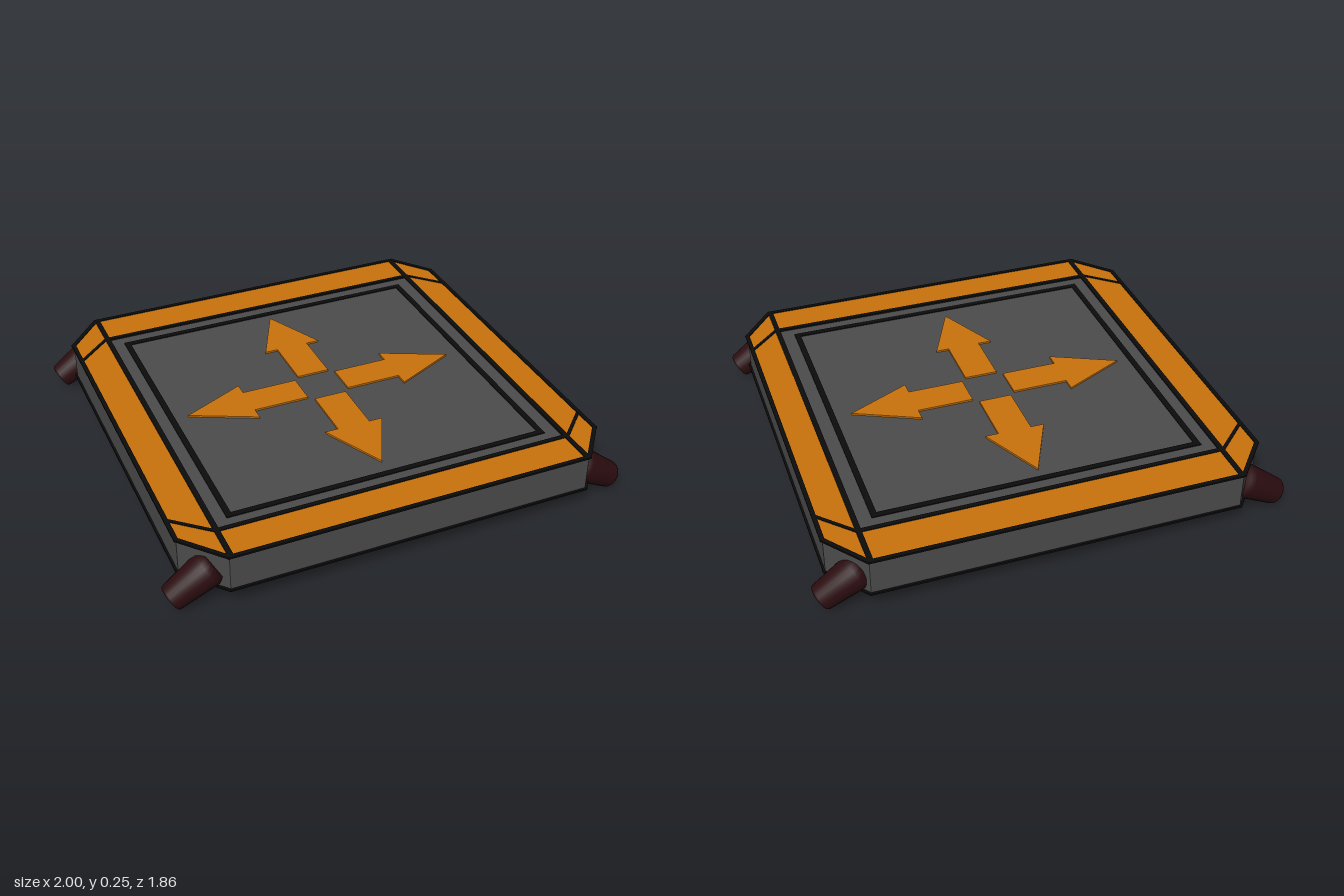
import * as THREE from 'three';

const mat = (color) => new THREE.MeshStandardMaterial({ color });
const grey = mat(0x4b4b4b), orange = mat(0xc9720c), black = mat(0x0c0c0c), maroon = mat(0x2c0d10);

// Outlines are lists of [x, z]
const OUTER = [[-0.76, -0.92], [0.79, -0.92], [0.925, -0.745], [0.925, 0.75],
  [0.79, 0.92], [-0.76, 0.92], [-0.91, 0.75], [-0.91, -0.745]];
const rect = (x0, x1, z0, z1) => [[x0, z0], [x1, z0], [x1, z1], [x0, z1]];
const toPoints = (list) => list.map(([x, z]) => new THREE.Vector2(x, z));

export function createModel() {
  const model = new THREE.Group();

  const add = (name, geometry, material) => {
    const mesh = new THREE.Mesh(geometry, material);
    mesh.name = name;
    model.add(mesh);
    return mesh;
  };

  // Flat plate with an optional hole, hanging down from height top
  const plate = (name, outline, top, depth, material, hole) => {
    const shape = new THREE.Shape(toPoints(outline));
    if (hole) shape.holes.push(new THREE.Path(toPoints(hole)));
    const geometry = new THREE.ExtrudeGeometry(shape, { depth, bevelEnabled: false });
    geometry.rotateX(Math.PI / 2).translate(0, top, 0);
    return add(name, geometry, material);
  };

  // Straight dark seam between two [x, z] points
  const seam = (name, [x0, z0], [x1, z1], y, width = 0.02) => {
    const dx = x1 - x0, dz = z1 - z0;
    const bar = add(name, new THREE.BoxGeometry(Math.hypot(dx, dz) + width * 0.6, 0.008, width), black);
    bar.position.set((x0 + x1) / 2, y, (z0 + z1) / 2);
    bar.rotation.y = -Math.atan2(dz, dx);
  };

  // Slab and raised border
  plate('slab', OUTER, 0.245, 0.155, grey);
  plate('border', OUTER, 0.249, 0.006, orange, rect(-0.75, 0.785, -0.74, 0.76));

  // Dark edging around the top and bottom rims
  OUTER.forEach((p, i) => {
    const q = OUTER[(i + 1) % OUTER.length];
    seam('topEdging', p, q, 0.249, 0.018);
    seam('bottomEdging', p, q, 0.09, 0.018);
  });

  // Seams dividing the border
  for (const x of [-0.752, 0.783]) seam('sideSeam', [x, -0.91], [x, 0.91], 0.2485, 0.022);
  for (const z of [-0.74, 0.757]) seam('crossSeam', [-0.75, z], [0.78, z], 0.2485, 0.02);
  for (const [inner, outer] of [[-0.76, -0.905], [0.79, 0.92]]) {
    seam('cornerSeam', [inner, -0.74], [outer, -0.605], 0.2485, 0.014);
    seam('cornerSeam', [inner, 0.757], [outer, 0.63], 0.2485, 0.014);
  }

  // Square line inside the border
  plate('innerFrame', rect(-0.69, 0.715, -0.68, 0.7), 0.249, 0.006, black,
    rect(-0.665, 0.69, -0.655, 0.675));

  // Four arrows pointing outwards
  const arrow = [[0.095, -0.072], [0.34, -0.072], [0.34, -0.13], [0.615, 0],
    [0.34, 0.13], [0.34, 0.072], [0.095, 0.072]];
  for (let i = 0; i < 4; i++) {
    const mesh = plate('arrow', arrow, 0.253, 0.01, orange);
    mesh.rotation.y = i * Math.PI / 2;
    mesh.position.x = 0.006;
  }

  // Tapered feet with a dished tip, splayed out to the sides
  const tilt = 0.56;
  const profile = toPoints([[0, 0.014], [0.034, 0.014], [0.04, 0], [0.053, 0],
    [0.057, 0.008], [0.066, 0.1], [0.074, 0.18], [0.068, 0.21], [0, 0.21]]);
  const foot = new THREE.LatheGeometry(profile, 24);
  for (const side of [-1, 1]) {
    for (const z of [-0.835, 0.83]) {
      const mesh = add('foot', foot, maroon);
      mesh.position.set(side * 0.97, 0.047, z);
      mesh.rotation.z = side * (Math.PI / 2 - tilt);
    }
  }
  return model;
}
